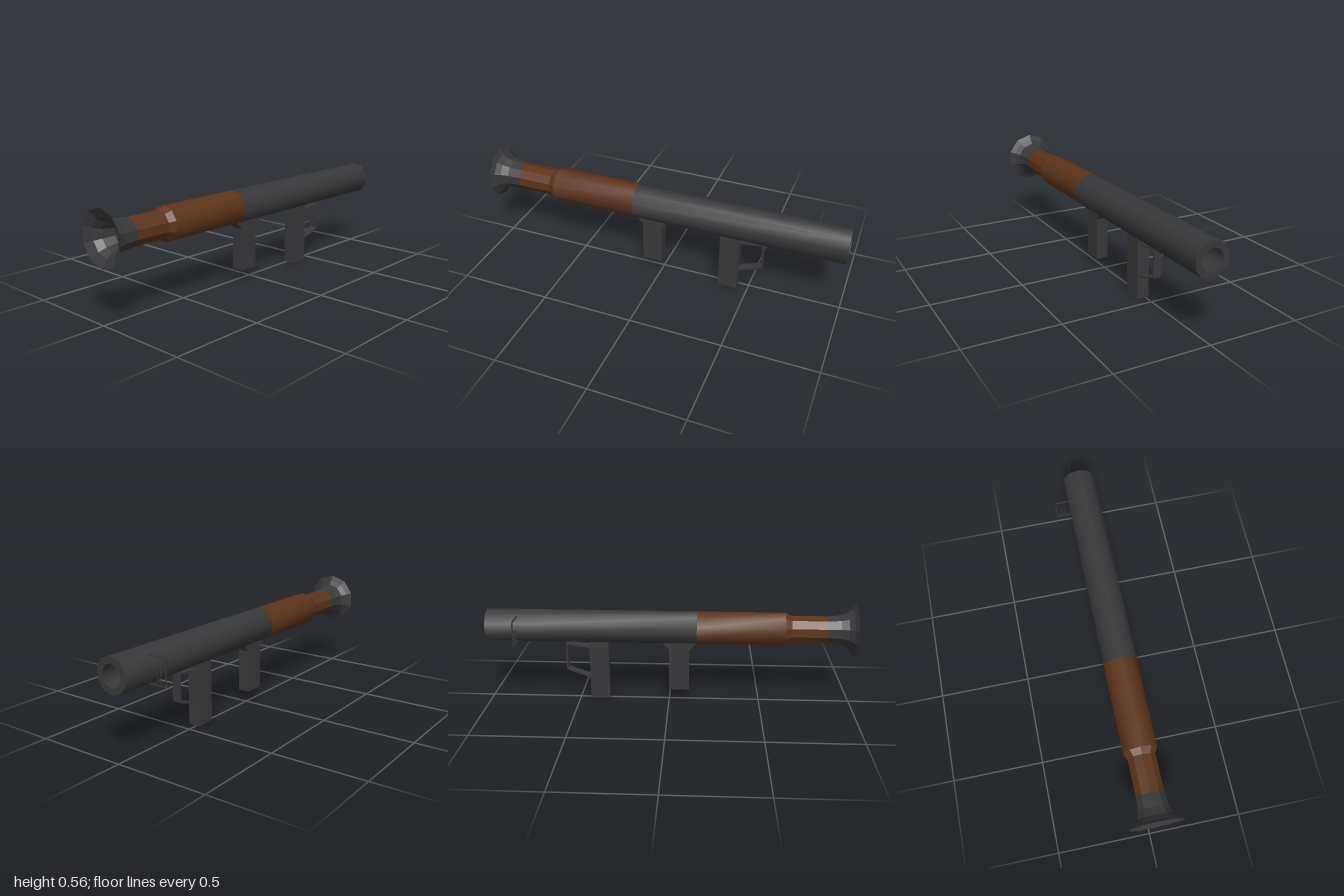
import * as THREE from 'three';
import { toCreasedNormals } from 'three/addons/utils/BufferGeometryUtils.js';

const AXIS_Y = 0.418, AXIS_Z = 0.015;

export function createModel() {
  const model = new THREE.Group();
  const metal = new THREE.MeshStandardMaterial({ color: 0x38383a });
  const wood = new THREE.MeshStandardMaterial({ color: 0x5c3319 });

  const add = (name, geometry, material, parent = model) => {
    const mesh = new THREE.Mesh(geometry, material);
    mesh.name = name;
    parent.add(mesh);
    return mesh;
  };

  // Ten-sided section turned about the barrel axis; profile is [x, radius]
  const turned = (name, profile, material, crease) => {
    const points = profile.map(([x, r]) => new THREE.Vector2(r, x));
    const lathe = new THREE.LatheGeometry(points, 10, Math.PI / 2);
    lathe.rotateZ(-Math.PI / 2);
    lathe.translate(0, AXIS_Y, AXIS_Z);
    return add(name, toCreasedNormals(lathe, crease), material);
  };
  const SMOOTH = 0.7, FACETED = 0.1;

  // Flared rear bell with a hollow inside
  turned('rearBell', [
    [-0.8, 0], [-0.8, 0.058], [-0.88, 0.06], [-0.94, 0.074], [-0.975, 0.098], [-1, 0.145],
    [-0.985, 0.117], [-0.96, 0.094], [-0.92, 0.081], [-0.85, 0.075],
  ], metal, FACETED);

  // Wooden neck and sleeve
  turned('woodNeck', [[-0.85, 0.075], [-0.66, 0.075], [-0.625, 0.092]], wood, FACETED);
  turned('woodSleeve', [[-0.625, 0.092], [-0.15, 0.092]], wood, SMOOTH);

  // Front tube with its bore
  turned('barrel', [
    [-0.15, 0.092], [1, 0.092], [1, 0.058], [0.75, 0.058], [0.75, 0],
  ], metal, SMOOTH);

  // Side outline extruded across the width, centred on the barrel
  const slab = (name, outline, width, hole) => {
    const shape = new THREE.Shape(outline.map(([x, y]) => new THREE.Vector2(x, y)));
    if (hole) shape.holes.push(new THREE.Path(hole.map(([x, y]) => new THREE.Vector2(x, y))));
    const geometry = new THREE.ExtrudeGeometry(shape, { depth: width, bevelEnabled: false });
    geometry.translate(0, 0, AXIS_Z - width / 2);
    return add(name, geometry, metal);
  };

  // Rear grip with a flared mount, front grip, trigger guard
  slab('rearGrip', [
    [-0.11, 0.06], [0, 0.06], [0, 0.295], [0.037, 0.335], [0.037, 0.35],
    [-0.147, 0.35], [-0.147, 0.335], [-0.11, 0.295],
  ], 0.066);
  slab('frontGrip', [[0.335, 0], [0.44, 0], [0.44, 0.35], [0.335, 0.35]], 0.066);
  slab('triggerGuard',
    [[0.43, 0.114], [0.572, 0.165], [0.572, 0.322], [0.43, 0.302]], 0.046,
    [[0.436, 0.126], [0.436, 0.293], [0.563, 0.312], [0.563, 0.171]]);

  // Wire sight frame on the back side near the muzzle
  const sight = new THREE.Group();
  sight.name = 'sight';
  sight.position.x = 0.826;
  model.add(sight);

  const frame = new THREE.Shape();
  frame.moveTo(0.045, 0.345);
  frame.lineTo(0.146, 0.345);
  frame.quadraticCurveTo(0.152, 0.345, 0.152, 0.351);
  frame.lineTo(0.152, 0.482);
  frame.quadraticCurveTo(0.152, 0.488, 0.146, 0.488);
  frame.lineTo(0.045, 0.488);
  frame.lineTo(0.045, 0.482);
  frame.lineTo(0.146, 0.482);
  frame.lineTo(0.146, 0.351);
  frame.lineTo(0.045, 0.351);
  const frameGeometry = new THREE.ExtrudeGeometry(frame, { depth: 0.006, bevelEnabled: false });
  frameGeometry.rotateY(Math.PI / 2); // outline runs towards -z
  frameGeometry.translate(-0.003, 0, 0);
  add('sightFrame', frameGeometry, metal, sight);

  // Short posts with aiming ticks inside the frame
  const rod = (name, y, z, height, depth) =>
    add(name, new THREE.BoxGeometry(0.004, height, depth), metal, sight).position.set(0, y, z);
  rod('sightPost', 0.388, -0.118, 0.08, 0.004);
  rod('innerPost', 0.388, -0.1, 0.08, 0.003);
  for (const y of [0.373, 0.403, 0.421]) rod('sightTick', y, -0.121, 0.004, 0.01);

  return model;
}
